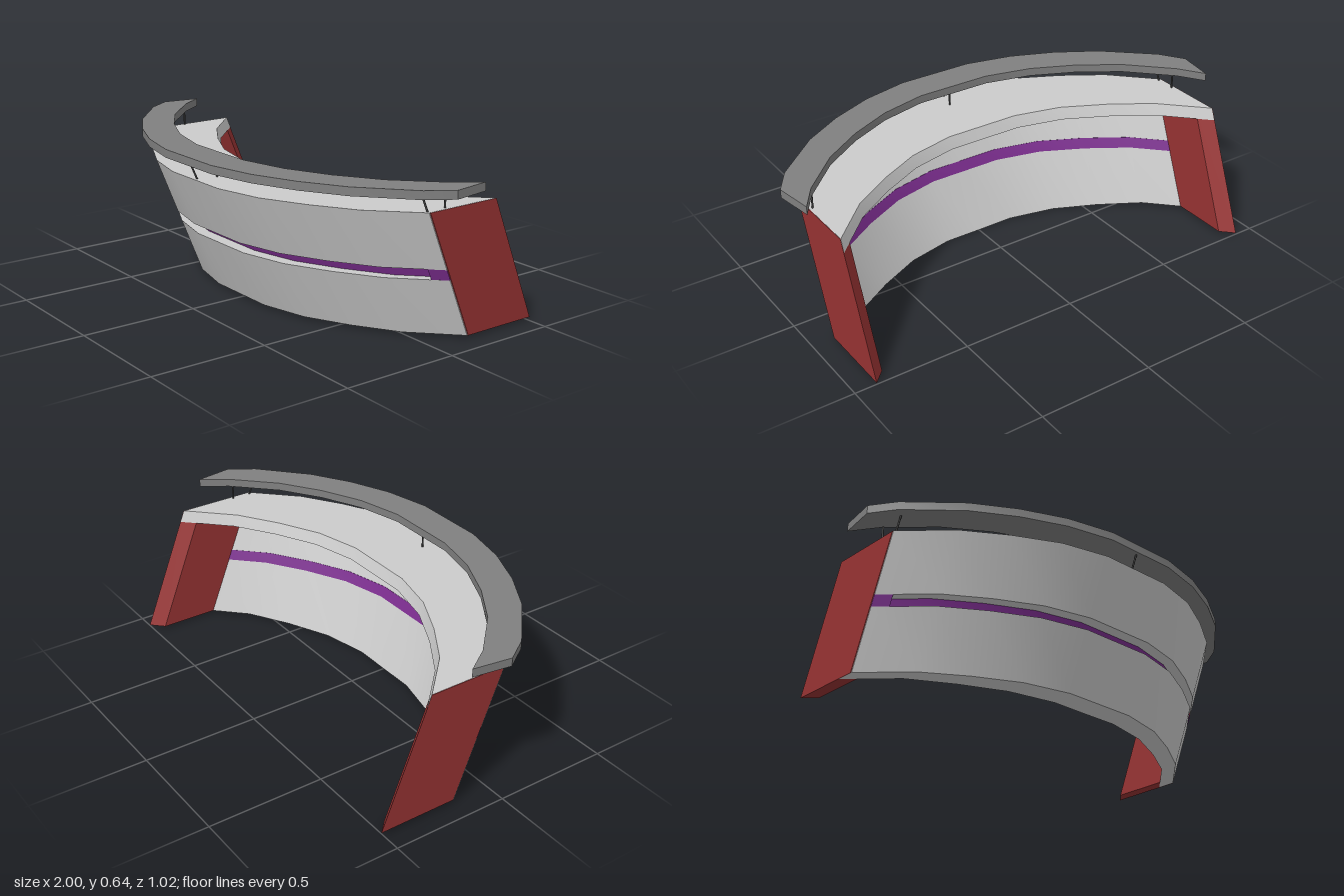
import * as THREE from 'three';
import { toCreasedNormals } from 'three/addons/utils/BufferGeometryUtils.js';

const TOP = 0.54, LEAN = 0.411, HALF = 0.908;
const GREY = 0xcccccc, DARK = 0x808080, RED = 0x973333, PURPLE = 0x7b2d8e, METAL = 0x444444;

// Front edge of the counter at its top: [x, z]
const ARC = [[0, 0.478], [0.166, 0.478], [0.37, 0.43], [0.556, 0.338], [0.73, 0.228], [0.91, 0.05]];
// Raised shelf plan: [outer x, outer z, inner x, inner z]
const SHELF = [
  [0.166, 0.508, 0.166, 0.358], [0.37, 0.463, 0.37, 0.31], [0.556, 0.386, 0.556, 0.225],
  [0.73, 0.283, 0.73, 0.112], [0.93, 0.105, 0.9, -0.055], [1, 0, 0.975, -0.165],
];

function frontZ(x, y) {
  const a = Math.abs(x);
  let i = 0;
  while (i < ARC.length - 2 && a > ARC[i + 1][0]) i++;
  const [x0, z0] = ARC[i], [x1, z1] = ARC[i + 1];
  return z0 + (z1 - z0) * (a - x0) / (x1 - x0) - LEAN * (TOP - y);
}

// Joins four-cornered sections (outer top, outer bottom, inner bottom, inner top) from -x to +x
function loft(sections) {
  const pos = [];
  const tri = (...corners) => corners.forEach((p) => pos.push(...p));
  for (let i = 0; i < sections.length - 1; i++) {
    const s = sections[i], t = sections[i + 1];
    for (let k = 0; k < 4; k++) {
      const n = (k + 1) % 4;
      tri(s[k], s[n], t[n]);
      tri(s[k], t[n], t[k]);
    }
  }
  const s = sections[0], e = sections[sections.length - 1];
  tri(s[0], s[2], s[1]); tri(s[0], s[3], s[2]);
  tri(e[0], e[1], e[2]); tri(e[0], e[2], e[3]);
  const geo = new THREE.BufferGeometry();
  geo.setAttribute('position', new THREE.Float32BufferAttribute(pos, 3));
  return toCreasedNormals(geo, 0.35);
}

// Leaning curved band between depths d0..d1 behind the front and heights y0..y1
function band(d0, d1, y0, y1, xMin = -HALF, xMax = HALF, innerY = () => y0) {
  const knots = ARC.slice(1).flatMap(([x]) => [-x, x]).concat(0);
  const xs = [xMin, ...knots.filter((x) => x > xMin && x < xMax), xMax].sort((a, b) => a - b);
  return loft(xs.map((x) => [
    [x, y1, frontZ(x, y1) - d0], [x, y0, frontZ(x, y0) - d0],
    [x, innerY(x), frontZ(x, innerY(x)) - d1], [x, y1, frontZ(x, y1) - d1],
  ]));
}

export function createModel() {
  const model = new THREE.Group();
  const add = (name, geo, color) => {
    const mesh = new THREE.Mesh(geo, new THREE.MeshStandardMaterial({ color }));
    mesh.name = name;
    model.add(mesh);
    return mesh;
  };

  // Front wall in two bands, with a recessed stripe between them
  const floorY = (x) => 0.012 * Math.min(1, (x / 0.75) ** 2);
  add('lowerFrontPanel', band(0, 0.085, 0.012, 0.255, -HALF, HALF, floorY), GREY);
  add('upperFrontPanel', band(0, 0.085, 0.3, TOP), GREY);
  add('accentStripe', band(0.054, 0.086, 0.255, 0.3), PURPLE);

  // Worktop behind the wall
  add('worktop', band(0.085, 0.342, 0.49, TOP), GREY);

  // End panels, with stripe end pieces in front of them
  for (const [side, a, b] of [['left', 0.857, 0.91], ['right', -0.91, -0.857]]) {
    add(side + 'EndPanel', band(0.003, 0.34, 0.012, TOP - 0.001, a, b), RED);
    add(side + 'StripeEnd', band(0.001, 0.054, 0.255, 0.3, Math.max(a, -HALF), Math.min(b, HALF)), PURPLE);
  }

  // Raised shelf
  const plan = [...SHELF.map(([a, b, c, d]) => [-a, b, -c, d]).reverse(), ...SHELF];
  add('raisedShelf', loft(plan.map(([ox, oz, ix, iz]) => [
    [ox, 0.637, oz], [ox, 0.602, oz], [ix, 0.602, iz], [ix, 0.637, iz],
  ])), DARK);

  // Thin posts: a leaning and an upright one at each support
  const post = (x, zBottom, zTop) => {
    const from = new THREE.Vector3(x, TOP - 0.003, zBottom), to = new THREE.Vector3(x, 0.605, zTop);
    const dir = to.clone().sub(from);
    const mesh = add('shelfPost', new THREE.CylinderGeometry(0.004, 0.004, dir.length(), 8), METAL);
    mesh.position.copy(from).add(to).multiplyScalar(0.5);
    mesh.quaternion.setFromUnitVectors(new THREE.Vector3(0, 1, 0), dir.normalize());
  };
  post(-0.01, 0.46, 0.49);
  post(0.01, 0.378, 0.378);
  for (const x of [-0.893, 0.893]) {
    post(x, 0.045, 0.075);
    post(x, -0.04, -0.04);
  }
  return model;
}
